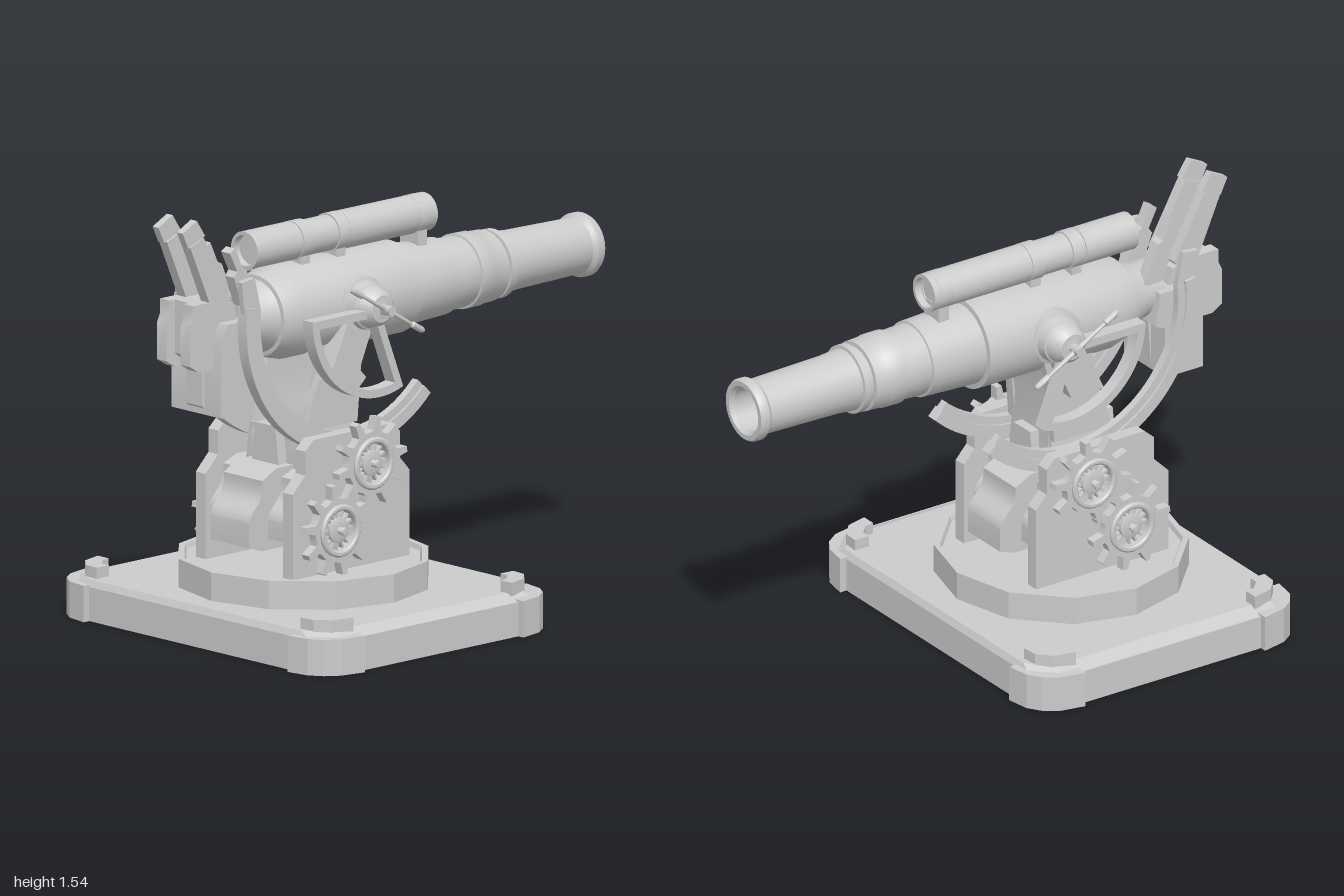
import * as THREE from 'three';
import { toCreasedNormals } from 'three/addons/utils/BufferGeometryUtils.js';

const AXIS_Y = 1.131, HUB_Z = 0.215, HUB_Y = 1.14, BASE_Z = 0.34;

export function createModel() {
  const root = new THREE.Group();
  const mat = new THREE.MeshStandardMaterial({ color: 0xcccccc, side: THREE.DoubleSide });

  const add = (name, geo, parent = root, crease = 0.6) => {
    const mesh = new THREE.Mesh(toCreasedNormals(geo, crease), mat);
    mesh.name = name;
    parent.add(mesh);
    return mesh;
  };
  const poly = pts => new THREE.Shape(pts.map(p => new THREE.Vector2(...p)));
  const extrude = (shape, depth) =>
    new THREE.ExtrudeGeometry(shape, { depth, bevelEnabled: false, curveSegments: 24 });

  // Side profile in (z, y), spanning xa..xb
  const slab = (name, shape, xa, xb, parent) => {
    const s = Array.isArray(shape) ? poly(shape) : shape;
    return add(name, extrude(s, Math.abs(xb - xa)).translate(0, 0, -Math.max(xa, xb)).rotateY(-Math.PI / 2), parent);
  };
  // Front profile in (x, y), spanning z0..z1
  const frontSlab = (name, pts, z0, z1) => add(name, extrude(poly(pts), z1 - z0).translate(0, 0, z0));
  // Plan outline in (x, z), spanning y0..y1, its top edge narrowed by kx and kz
  const plan = (name, shape, y0, y1, kx = 1, kz = 1) => {
    const geo = extrude(shape, y1 - y0).rotateX(Math.PI / 2).translate(0, y1, 0), p = geo.attributes.position;
    for (let i = 0; i < p.count; i++)
      if (p.getY(i) > (y0 + y1) / 2) p.setXYZ(i, p.getX(i) * kx, p.getY(i), p.getZ(i) * kz);
    return add(name, geo.translate(0, 0, BASE_Z), root, 0.2);
  };
  const lathe = (pts, segs = 32) => new THREE.LatheGeometry(pts.map(p => new THREE.Vector2(...p)), segs);
  // Turned part along the z axis
  const turnZ = (name, pts, y) => add(name, lathe(pts).rotateX(Math.PI / 2).translate(0, y, 0));
  // Turned part pointing outwards along x on side s
  const turnX = (name, pts, s, y, z, parent) =>
    add(name, lathe(pts, 24).rotateZ(-s * Math.PI / 2).translate(0, y, z), parent);
  // Annular arc in (z, y), running clockwise from a0 to a1
  const arcBand = (cz, cy, r0, r1, a0, a1) => {
    const s = new THREE.Shape();
    s.absarc(cz, cy, r1, a0, a1, true);
    s.absarc(cz, cy, r0, a1, a0, false);
    return s;
  };
  // Pie slice in (z, y) with its tip at (tz, ty)
  const pie = (path, tz, ty, r, a0, a1) => {
    path.moveTo(tz, ty);
    path.lineTo(HUB_Z + r * Math.cos(a0), HUB_Y + r * Math.sin(a0));
    path.absarc(HUB_Z, HUB_Y, r, a0, a1, true);
    path.lineTo(tz, ty);
    return path;
  };
  // Rectangle with cut corners
  const cutRect = (w, d, c) => poly([[c - w, -d], [w - c, -d], [w, c - d], [w, d - c],
    [w - c, d], [c - w, d], [-w, d - c], [-w, c - d]]);

  // Base: hollow rim, deck with sloped sides and four corner caps
  const rim = cutRect(0.68, 0.545, 0.085);
  rim.holes.push(cutRect(0.61, 0.475, 0.06));
  plan('baseRim', rim, 0, 0.09);
  plan('baseDeck', cutRect(0.68, 0.545, 0.085), 0.085, 0.122);
  plan('deckSlope', cutRect(0.68, 0.545, 0.085), 0.12, 0.145, 0.915, 0.975);
  for (const sx of [1, -1]) for (const sz of [1, -1]) {
    const at = pts => poly(pts.map(([u, v]) => [u * sx, v * sz]));
    plan('cornerCap', at([[0.515, 0.47], [0.515, 0.572], [0.60, 0.558], [0.65, 0.525], [0.685, 0.475],
      [0.705, 0.38], [0.61, 0.38], [0.59, 0.43], [0.56, 0.46]]), 0, 0.13);
    plan('cornerTop', at([[0.515, 0.45], [0.515, 0.51], [0.575, 0.505], [0.625, 0.46],
      [0.645, 0.38], [0.59, 0.38], [0.585, 0.415], [0.55, 0.45]]), 0.12, 0.185);
  }

  // Twelve-sided turntable with a raised lip
  const table = lathe([[0, 0.13], [0.457, 0.13], [0.457, 0.247], [0.435, 0.247], [0.428, 0.23], [0, 0.23]], 12);
  add('turntable', table.scale(1, 1, 0.967).translate(0, 0, 0.347), root, 0.1);

  // Pedestal body between the cheeks, with a proud central cover, both flaring in an S-curve
  const flared = (out, low, top) => {
    const mid = 0.36, w = 0.34 + out, s = new THREE.Shape();
    s.moveTo(mid + w - 0.06, low);
    s.lineTo(mid + w, low + 0.02);
    s.lineTo(mid + w, 0.42);
    s.bezierCurveTo(mid + w - 0.01, 0.48, mid + w - 0.07, 0.47, mid + w - 0.065, 0.565);
    s.lineTo(mid + w - 0.13, top);
    s.lineTo(mid - w + 0.13, top);
    s.lineTo(mid - w + 0.065, 0.565);
    s.bezierCurveTo(mid - w + 0.07, 0.47, mid - w + 0.01, 0.48, mid - w, 0.42);
    s.lineTo(mid - w, low + 0.02);
    s.lineTo(mid - w + 0.06, low);
    return s;
  };
  slab('pedestalBody', flared(-0.09, 0.335, 0.59), -0.2, 0.2);
  slab('pedestalCover', flared(0, 0.315, 0.6), -0.098, 0.098);
  frontSlab('neckWedge', [[-0.07, 0.58], [0.07, 0.58], [0.05, 0.735], [-0.05, 0.735]], 0.18, 0.53);
  frontSlab('neckBase', [[-0.14, 0.58], [0.14, 0.58], [0.12, 0.72], [-0.12, 0.72]], 0.22, 0.49);
  slab('neck', [[0.49, 0.6], [0.49, 0.7], [0.43, 0.83], [0.4, 1.02], [0.19, 1.02], [0.22, 0.83], [0.21, 0.6]],
    -0.112, 0.112);

  // Barrel with bore, reinforcing bands and tapered breech
  turnZ('barrel', [[0, -0.7], [0.078, -0.7], [0.078, -0.985], [0.09, -1], [0.108, -1], [0.114, -0.99],
    [0.114, -0.965], [0.1, -0.95], [0.106, -0.64], [0.112, -0.57], [0.124, -0.568], [0.124, -0.54],
    [0.112, -0.538], [0.112, -0.525], [0.127, -0.523], [0.13, -0.46], [0.133, -0.455], [0.134, -0.39],
    [0.126, -0.388], [0.13, -0.29], [0.138, -0.288], [0.147, -0.07], [0.166, -0.068], [0.167, 0.49],
    [0.145, 0.575], [0.13, 0.577], [0.1, 0.65], [0.1, 0.72], [0, 0.72]], AXIS_Y);

  // Sighting tube above the barrel, open at both ends, with clamps
  turnZ('sightTube', [[0, -0.2], [0.055, -0.2], [0.055, -0.235], [0.068, -0.235], [0.068, 0.18], [0.063, 0.18],
    [0.063, 0.41], [0.068, 0.41], [0.068, 0.63], [0.055, 0.63], [0.055, 0.6], [0, 0.6]], 1.372);
  for (const z of [0.38, 0.208, -0.182]) {
    turnZ('sightClamp', [[0.05, z - 0.026], [0.069, z - 0.026], [0.069, z + 0.026], [0.05, z + 0.026]], 1.372);
    add('sightBracket', new THREE.BoxGeometry(0.09, 0.08, 0.044).translate(0, 1.29, z));
  }

  // Breech block
  slab('breechBlock', [[0.70, 0.83], [0.86, 0.83], [0.86, 1.1], [0.83, 1.16], [0.68, 1.16], [0.66, 1.04], [0.70, 1.02]],
    -0.125, 0.125);
  slab('breechCore', [[0.7, 0.835], [0.84, 0.835], [0.87, 0.86], [0.87, 1.0], [0.93, 1.05], [0.93, 1.24],
    [0.78, 1.24], [0.68, 1.1]], -0.04, 0.04);

  for (const s of [1, -1]) {
    const side = new THREE.Group();
    side.name = s > 0 ? 'leftSide' : 'rightSide';
    root.add(side);

    // Breech jaws, tall levers and short levers
    slab('breechJaw', [[0.86, 1.0], [0.93, 1.0], [0.97, 1.025], [0.97, 1.16], [0.955, 1.19], [0.955, 1.24],
      [0.88, 1.24], [0.76, 1.22], [0.72, 1.08]], s * 0.035, s * 0.083, side);
    slab('tallLever', [[0.89, 1.2], [0.80, 1.2], [0.77, 1.24], [0.90, 1.475], [0.965, 1.45], [0.87, 1.23]],
      s * 0.038, s * 0.08, side);
    slab('tallLeverTip', [[0.97, 1.445], [0.998, 1.505], [0.93, 1.54], [0.89, 1.48]], s * 0.046, s * 0.076, side);
    slab('shortLever', [[0.78, 1.4], [0.755, 1.415], [0.72, 1.34], [0.70, 1.33], [0.62, 1.15], [0.69, 1.12],
      [0.76, 1.31], [0.745, 1.33]], s * 0.04, s * 0.085, side);

    // Elevation arc with a thin rail that runs on above it
    slab('elevationArc', arcBand(0.275, 1.15, 0.475, 0.52, 0.135, -2.345), s * 0.14, s * 0.185, side);
    slab('elevationRail', arcBand(0.275, 1.15, 0.445, 0.48, 0.1, -2.345), s * 0.148, s * 0.177, side);
    slab('railEnd', [[0.79, 1.18], [0.808, 1.315], [0.745, 1.322], [0.715, 1.2], [0.72, 1.12]],
      s * 0.152, s * 0.174, side);

    // Arm carrying the trunnion
    slab('trunnionArm', [[0.46, 0.72], [0.43, 0.84], [0.27, 1.15], [0.16, 1.12], [0.2, 0.95], [0.22, 0.72]],
      s * 0.1, s * 0.14, side);
    slab('trunnionStrut', [[0.4, 0.9], [0.27, 1.17], [0.16, 1.13], [0.26, 0.9]], s * 0.13, s * 0.185, side);

    // Open quadrant frame
    const quadrant = pie(new THREE.Shape(), HUB_Z, HUB_Y, 0.318, 0, -1.94);
    quadrant.holes.push(pie(new THREE.Path(), HUB_Z + 0.02, HUB_Y - 0.03, 0.288, -0.105, -1.835));
    slab('quadrantFrame', quadrant, s * 0.195, s * 0.245, side);

    // Stepped trunnion hub, shaft and crank
    turnX('trunnionHub', [[0, 0.1], [0.1, 0.1], [0.1, 0.165], [0.088, 0.17], [0.082, 0.205], [0.076, 0.208],
      [0.062, 0.25], [0.048, 0.262], [0.035, 0.262], [0.018, 0.266], [0.018, 0.312], [0, 0.312]], s, HUB_Y, HUB_Z, side);
    const crank = add('crank', lathe([[0, -0.2], [0.008, -0.2], [0.012, -0.19], [0.012, -0.14], [0.006, -0.135],
      [0.01, 0], [0.006, 0.135], [0.012, 0.14], [0.012, 0.19], [0.008, 0.2], [0, 0.2]], 10), side);
    crank.position.set(s * 0.285, HUB_Y, HUB_Z);
    crank.rotation.x = 1.04;

    // Cheek plate
    slab('cheekPlate', [[0.63, 0.235], [0.63, 0.54], [0.57, 0.6], [0.57, 0.685], [0.53, 0.72], [0.15, 0.72],
      [0.115, 0.685], [0.115, 0.59], [0.07, 0.54], [0.07, 0.235]], s * 0.195, s * 0.245, side);

    // Pair of meshing gears
    for (const [z, y, turn] of [[0.285, 0.605, 0.15], [0.445, 0.39, 0.45]]) {
      const gear = new THREE.Group();
      gear.name = 'gear';
      side.add(gear);
      const teeth = 10, pts = [];
      for (let i = 0; i < teeth; i++)
        for (const [f, r] of [[0.0, 0.112], [0.3, 0.117], [0.42, 0.165], [0.62, 0.165], [0.74, 0.117]]) {
          const a = turn + (i + f) / teeth * Math.PI * 2;
          pts.push([z + r * Math.cos(a), y + r * Math.sin(a)]);
        }
      const outline = poly(pts), bore = new THREE.Path();
      bore.absarc(z, y, 0.075, 0, Math.PI * 2, true);
      outline.holes.push(bore);
      slab('gearTeeth', outline, s * 0.253, s * 0.288, gear);
      turnX('gearRing', [[0.072, 0.24], [0.094, 0.24], [0.094, 0.295], [0.088, 0.3], [0.078, 0.3], [0.072, 0.295],
        [0.072, 0.24]], s, y, z, gear);
      turnX('gearHub', [[0, 0.24], [0.045, 0.24], [0.045, 0.285], [0.03, 0.29], [0.014, 0.29], [0.01, 0.302],
        [0.015, 0.306], [0.012, 0.315], [0, 0.316]], s, y, z, gear);
      for (let i = 0; i < 16; i++)
        add('gearSpoke', new THREE.BoxGeometry(0.02, 0.034, 0.008).translate(0, 0.058, 0)
          .rotateX(i * Math.PI / 8).translate(s * 0.268, y, z), gear);
    }
  }
  return root;
}
